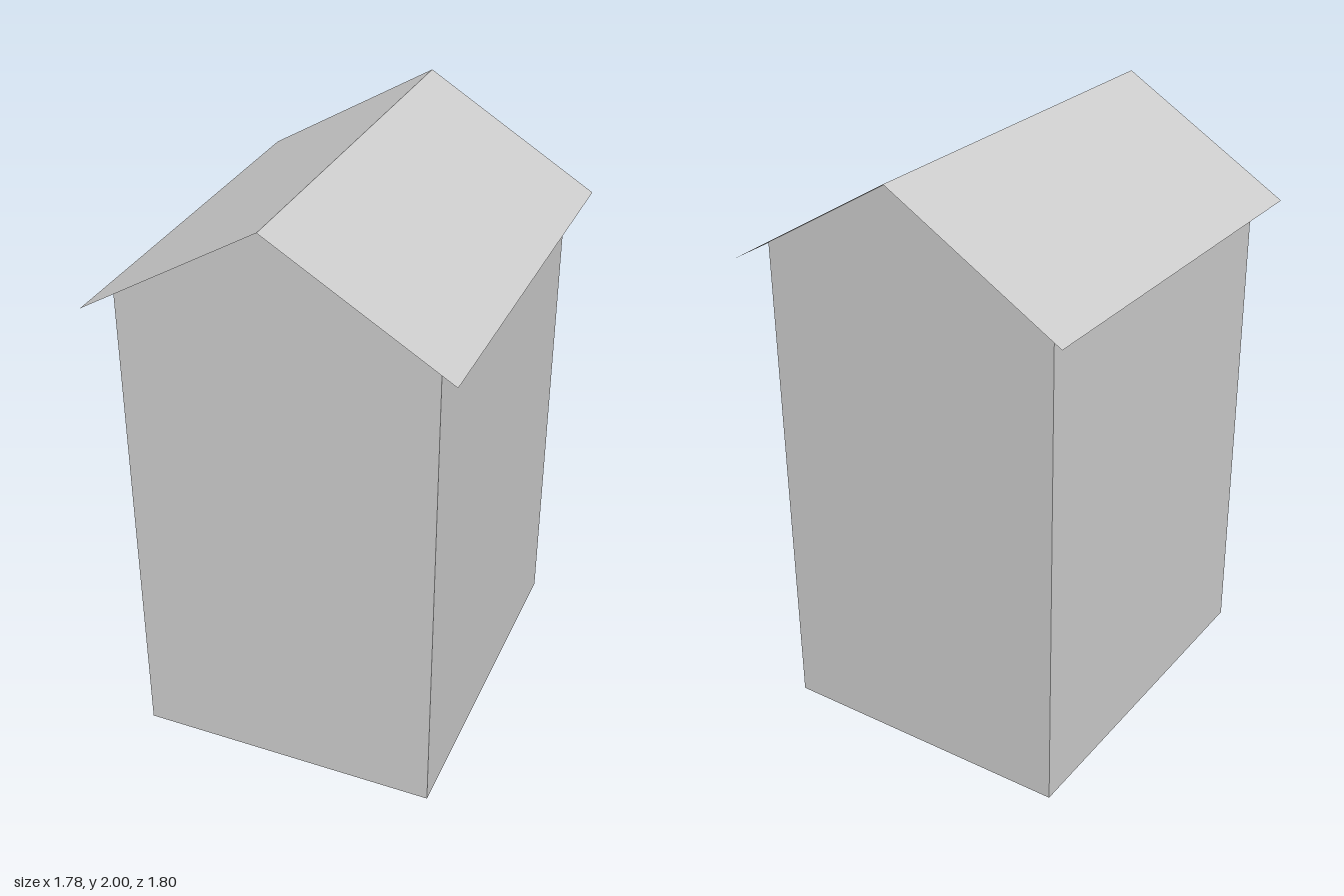
import * as THREE from 'three';

export function createModel() {
  const paint = new THREE.MeshStandardMaterial({ color: 0xcccccc, side: THREE.DoubleSide });
  paint.name = 'light grey';

  // Half sizes and heights, with the ridge along local z
  const wallX = 0.513, wallZ = 0.612;
  const roofX = 0.585, roofZ = 0.687;
  const ridgeY = 2, eaveY = 1.65;
  const rise = ridgeY - eaveY;
  const wallY = ridgeY - rise * wallX / roofX;

  const house = new THREE.Group();
  house.name = 'house';
  const add = (name, geometry) => {
    const mesh = new THREE.Mesh(geometry, paint);
    mesh.name = name;
    house.add(mesh);
    return mesh;
  };

  // Pentagonal end wall
  const gable = new THREE.Shape([
    new THREE.Vector2(-wallX, 0),
    new THREE.Vector2(wallX, 0),
    new THREE.Vector2(wallX, wallY),
    new THREE.Vector2(0, ridgeY),
    new THREE.Vector2(-wallX, wallY),
  ]);

  const slopeLength = Math.hypot(roofX, rise);
  const pitch = Math.atan2(rise, roofX);

  for (const s of [1, -1]) {
    const side = s > 0 ? 'right' : 'left';

    // Gable walls at both ends
    const end = add(s > 0 ? 'frontGable' : 'backGable', new THREE.ShapeGeometry(gable));
    end.position.z = s * wallZ;
    if (s < 0) end.rotation.y = Math.PI;

    // Long walls; the shell is open underneath
    const wall = add(side + 'Wall', new THREE.PlaneGeometry(2 * wallZ, wallY));
    wall.position.set(s * wallX, wallY / 2, 0);
    wall.rotation.y = s * Math.PI / 2;

    // Thin overhanging roof slopes
    const slope = new THREE.PlaneGeometry(slopeLength, 2 * roofZ).rotateX(-Math.PI / 2);
    const roof = add(side + 'RoofSlope', slope);
    roof.position.set(s * roofX / 2, (ridgeY + eaveY) / 2, 0);
    roof.rotation.z = -s * pitch;
  }

  // The house stands turned on its plot
  house.rotation.y = -0.695;
  const model = new THREE.Group();
  model.name = 'gabledHouse';
  model.add(house);
  return model;
}
